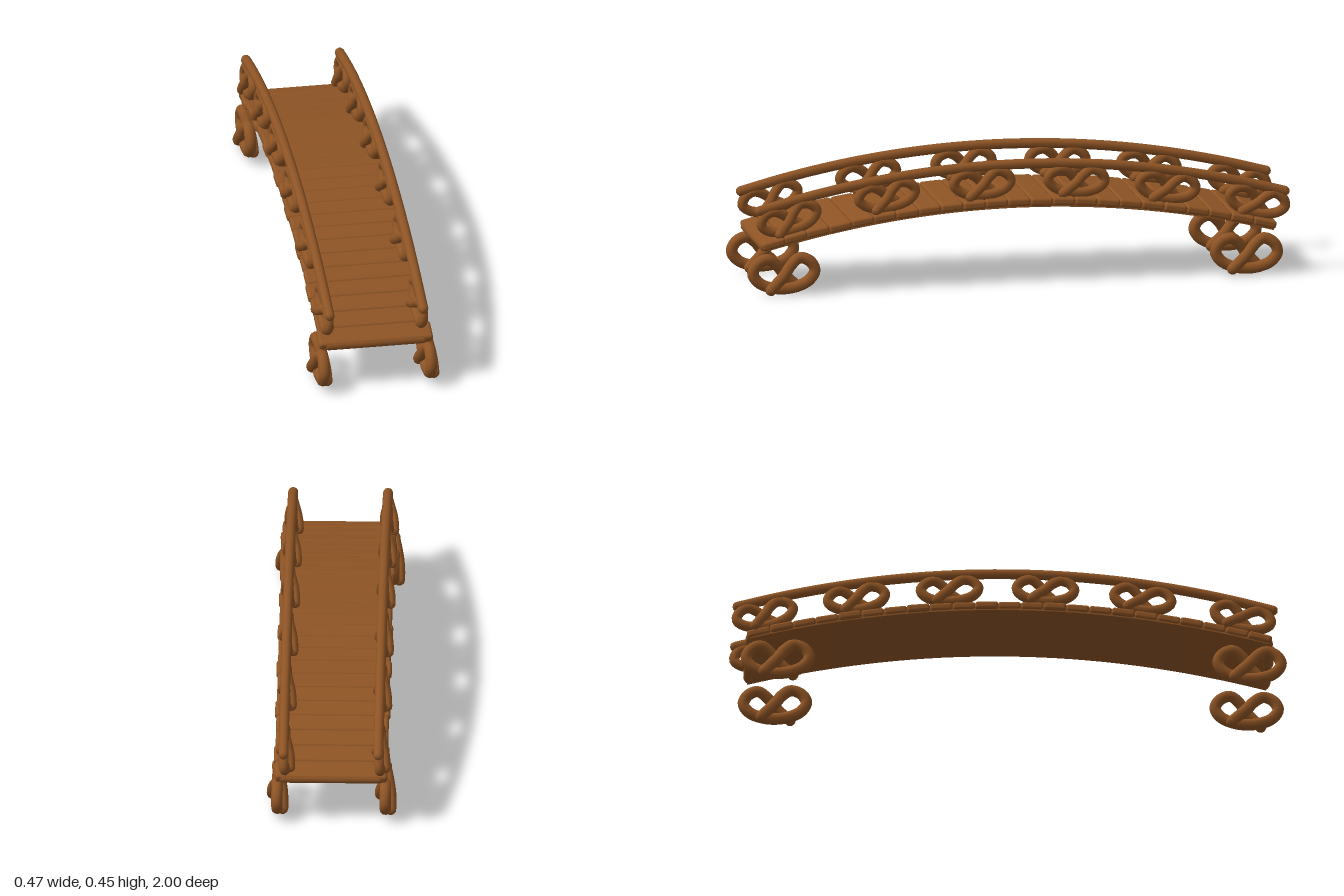
import * as THREE from 'three';
import { RoundedBoxGeometry } from 'three/addons/geometries/RoundedBoxGeometry.js';
import { mergeGeometries } from 'three/addons/utils/BufferGeometryUtils.js';

const deckY = z => 0.304 - 0.142 * z * z;
const railY = z => 0.442 - 0.147 * z * z;
const pitch = z => Math.atan(0.285 * z); // rotation that follows the arch

// Tube with rounded ends
function strand(points, radius, segments) {
  const curve = new THREE.CatmullRomCurve3(points);
  const parts = [new THREE.TubeGeometry(curve, segments, radius, 10)];
  for (const p of [points[0], points[points.length - 1]]) {
    parts.push(new THREE.SphereGeometry(radius, 10, 8).translate(p.x, p.y, p.z));
  }
  return mergeGeometries(parts);
}

// Knotted pretzel lying in the z-y plane: belly below, loops above, ends folded over the belly
function pretzelGeometry(halfWidth, halfHeight, radius) {
  const half = [
    [-0.46, -0.92, 0.9], [-0.24, -0.5, 0.9], [0, -0.02, 0.75], [0.22, 0.55, 0.4],
    [0.52, 0.96, 0], [0.85, 0.7, 0], [1, 0.1, 0], [0.8, -0.5, 0], [0.42, -0.84, 0],
  ];
  const mirrored = half.map(([u, v, w]) => [-u, v, -w]).reverse();
  const a = halfWidth - radius, b = halfHeight - radius;
  const points = [...half, [0, -0.95, 0], ...mirrored]
    .map(([u, v, w]) => new THREE.Vector3(u * a, v * b, w * radius));
  return strand(points, radius, 80).rotateY(-Math.PI / 2);
}

export function createModel() {
  const model = new THREE.Group();
  model.name = 'archedBridge';
  const crust = new THREE.MeshStandardMaterial({ color: 0x8e5425 });
  crust.name = 'bakedBrown';

  const add = (geometry, name, x = 0, y = 0, z = 0, rx = 0, rz = 0) => {
    const mesh = new THREE.Mesh(geometry, crust);
    mesh.name = name;
    mesh.position.set(x, y, z);
    mesh.rotation.set(rx, 0, rz);
    model.add(mesh);
  };

  // Smooth arched slab below the planks
  const steps = 32, end = 0.935;
  const slab = new THREE.Shape();
  for (let i = 0; i <= steps; i++) {
    const z = -end + (2 * end * i) / steps;
    if (i === 0) slab.moveTo(z, deckY(z) - 0.017);
    else slab.lineTo(z, deckY(z) - 0.017);
  }
  for (let i = steps; i >= 0; i--) {
    const z = -end + (2 * end * i) / steps;
    slab.lineTo(z, deckY(z) + 0.004);
  }
  slab.closePath();
  add(new THREE.ExtrudeGeometry(slab, { depth: 0.396, bevelEnabled: false })
    .rotateY(-Math.PI / 2).translate(0.198, 0, 0), 'deckSlab');

  // Rounded planks across the arch
  const planks = 23, spacing = 1.888 / planks;
  for (let i = 0; i < planks; i++) {
    const z = (i - (planks - 1) / 2) * spacing;
    const width = i % 3 === 1 ? 0.416 : 0.406;
    const depth = spacing / Math.cos(pitch(z)) + 0.002;
    add(new RoundedBoxGeometry(width, 0.03, depth, 3, 0.011), 'plank', 0, deckY(z) + 0.002, z, pitch(z));
  }
  // Rounded bars closing the two deck ends
  for (const z of [-0.932, 0.932]) {
    add(new THREE.CapsuleGeometry(0.018, 0.344, 4, 12).rotateZ(Math.PI / 2),
      'endBar', 0, deckY(z) - 0.002, z);
  }

  // Handrails
  const railPoints = [];
  for (let i = 0; i <= 14; i++) {
    const z = -0.98 + (1.93 * i) / 14;
    railPoints.push(new THREE.Vector3(0, railY(z), z));
  }
  const rail = strand(railPoints, 0.018, 48);
  const baluster = pretzelGeometry(0.123, 0.064, 0.0185);
  const foot = pretzelGeometry(0.135, 0.079, 0.021);

  for (const side of [-1, 1]) {
    add(rail, 'handrail', side * 0.171, 0, 0);
    // Knots holding up the handrail
    for (const z of [0.84, 0.48, 0.13, -0.215, -0.55, -0.88]) {
      add(baluster, 'railKnot', side * 0.172 - 0.004, (deckY(z) + railY(z)) / 2 + 0.004, z, pitch(z), -0.08);
    }
    // Knots standing under the deck ends
    add(foot, 'frontFoot', side * 0.195, 0.08, 0.865, 0.02);
    add(foot, 'backFoot', side * 0.195, 0.082, -0.835, -0.04);
  }
  return model;
}
